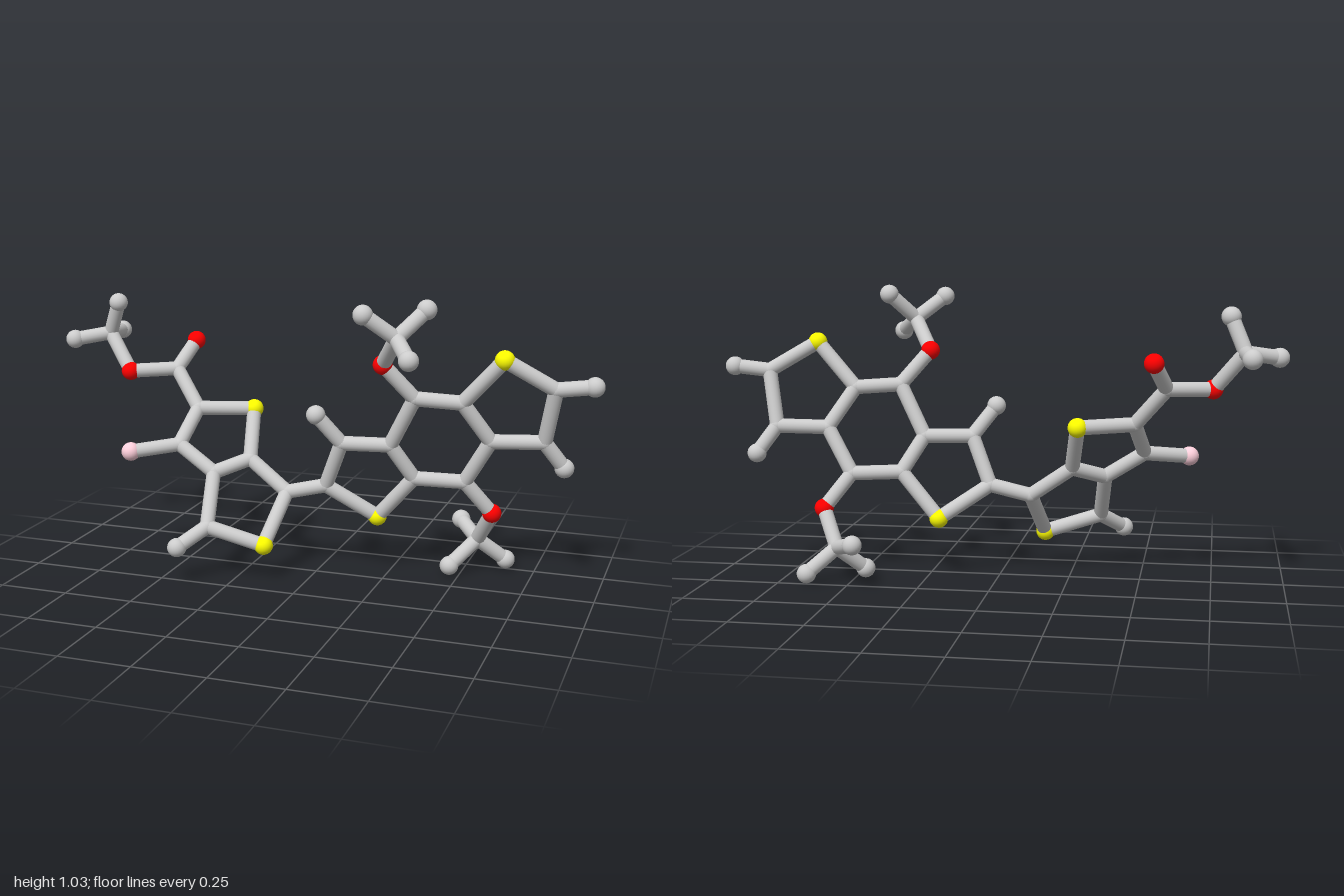
import * as THREE from 'three';

const BALL = 0.034, STICK = 0.026;

// Height of each fused ring system's flat plane in z
const leftPlane = (x, y) => -0.438 * x - 0.842 * y + 0.205;
const rightPlane = (x, y) => -0.157 * x + 0.2925 * y - 0.095;
const onPlane = (plane, points) => Object.fromEntries(
  Object.entries(points).map(([name, [x, y]]) => [name, [x, y, plane(x, y)]]));

const atoms = {
  // Left pair of five-sided rings
  ...onPlane(leftPlane, {
    sulfurA: [-0.29, 0.56], a1: [-0.48, 0.565], a2: [-0.51, 0.45], a3: [-0.37, 0.36],
    a4: [-0.26, 0.40], a5: [-0.11, 0.295], sulfurB: [-0.145, 0.135], a6: [-0.345, 0.195],
    fluorine: [-0.665, 0.43], endA: [-0.425, 0.135], ester: [-0.59, 0.695],
  }),
  // Ester branch
  oxygenA: [-0.55, 0.79, -0.213], oxygenB: [-0.745, 0.69, -0.045],
  forkA: [-0.85, 0.82, -0.10],
  endB: [-0.80, 0.94, -0.072], endC: [-0.965, 0.80, -0.033], endD: [-0.87, 0.81, -0.238],
  // Right row of three rings
  ...onPlane(rightPlane, {
    b1: [0.035, 0.33], b2: [0.105, 0.50], b3: [0.275, 0.50], b4: [0.35, 0.375],
    sulfurC: [0.21, 0.215], b5: [0.37, 0.68], b6: [0.53, 0.67], b7: [0.62, 0.53],
    b8: [0.525, 0.37], sulfurD: [0.675, 0.83], b9: [0.84, 0.73], b10: [0.80, 0.535],
    endE: [0.025, 0.605], endF: [0.965, 0.745], endG: [0.865, 0.44],
    oxygenC: [0.27, 0.80], oxygenD: [0.615, 0.25],
  }),
  // Upper and lower branches
  forkB: [0.345, 0.91, 0.20],
  endH: [0.245, 0.99, 0.25], endI: [0.43, 1.0, 0.135], endJ: [0.415, 0.858, 0.304],
  forkC: [0.55, 0.125, -0.193],
  endK: [0.465, 0.038, -0.12], endL: [0.645, 0.041, -0.248], endM: [0.465, 0.16, -0.303],
};

// Chains of joined atoms
const chains = [
  'sulfurA a1 a2 a3 a4 sulfurA', 'a4 a5 sulfurB a6 a3', 'a2 fluorine', 'a6 endA',
  'a1 ester oxygenA', 'ester oxygenB forkA endB', 'endC forkA endD', 'a5 b1',
  'b1 b2 b3 b4 sulfurC b1', 'b3 b5 b6 b7 b8 b4', 'b6 sulfurD b9 b10 b7',
  'b2 endE', 'b9 endF', 'b10 endG',
  'b5 oxygenC forkB endH', 'endI forkB endJ',
  'b8 oxygenD forkC endK', 'endL forkC endM',
];

const colors = { sulfur: 0xffff00, oxygen: 0xff0000, fluorine: 0xffd0dc };

export function createModel() {
  const model = new THREE.Group();
  const grey = new THREE.MeshStandardMaterial({ color: 0xcccccc });
  const materials = {};
  for (const kind in colors) materials[kind] = new THREE.MeshStandardMaterial({ color: colors[kind] });

  const ballGeometry = new THREE.SphereGeometry(BALL, 24, 16);
  const jointGeometry = new THREE.SphereGeometry(STICK * 1.04, 20, 14);
  const stickGeometry = new THREE.CylinderGeometry(STICK, STICK, 1, 20, 1, true);

  // Balls at coloured atoms and loose ends, plain round joints elsewhere
  for (const [name, position] of Object.entries(atoms)) {
    const kind = Object.keys(colors).find(k => name.startsWith(k));
    const isBall = kind || name.startsWith('end');
    const ball = new THREE.Mesh(isBall ? ballGeometry : jointGeometry, kind ? materials[kind] : grey);
    ball.name = kind ? kind + 'Ball' : isBall ? 'endBall' : 'joint';
    ball.position.set(...position);
    model.add(ball);
  }

  // Sticks between neighbours
  const up = new THREE.Vector3(0, 1, 0);
  for (const chain of chains) {
    const points = chain.split(' ').map(name => new THREE.Vector3(...atoms[name]));
    for (let i = 1; i < points.length; i++) {
      const span = points[i].clone().sub(points[i - 1]);
      const stick = new THREE.Mesh(stickGeometry, grey);
      stick.name = 'stick';
      stick.position.addVectors(points[i], points[i - 1]).multiplyScalar(0.5);
      stick.scale.y = span.length();
      stick.quaternion.setFromUnitVectors(up, span.normalize());
      model.add(stick);
    }
  }
  return model;
}
